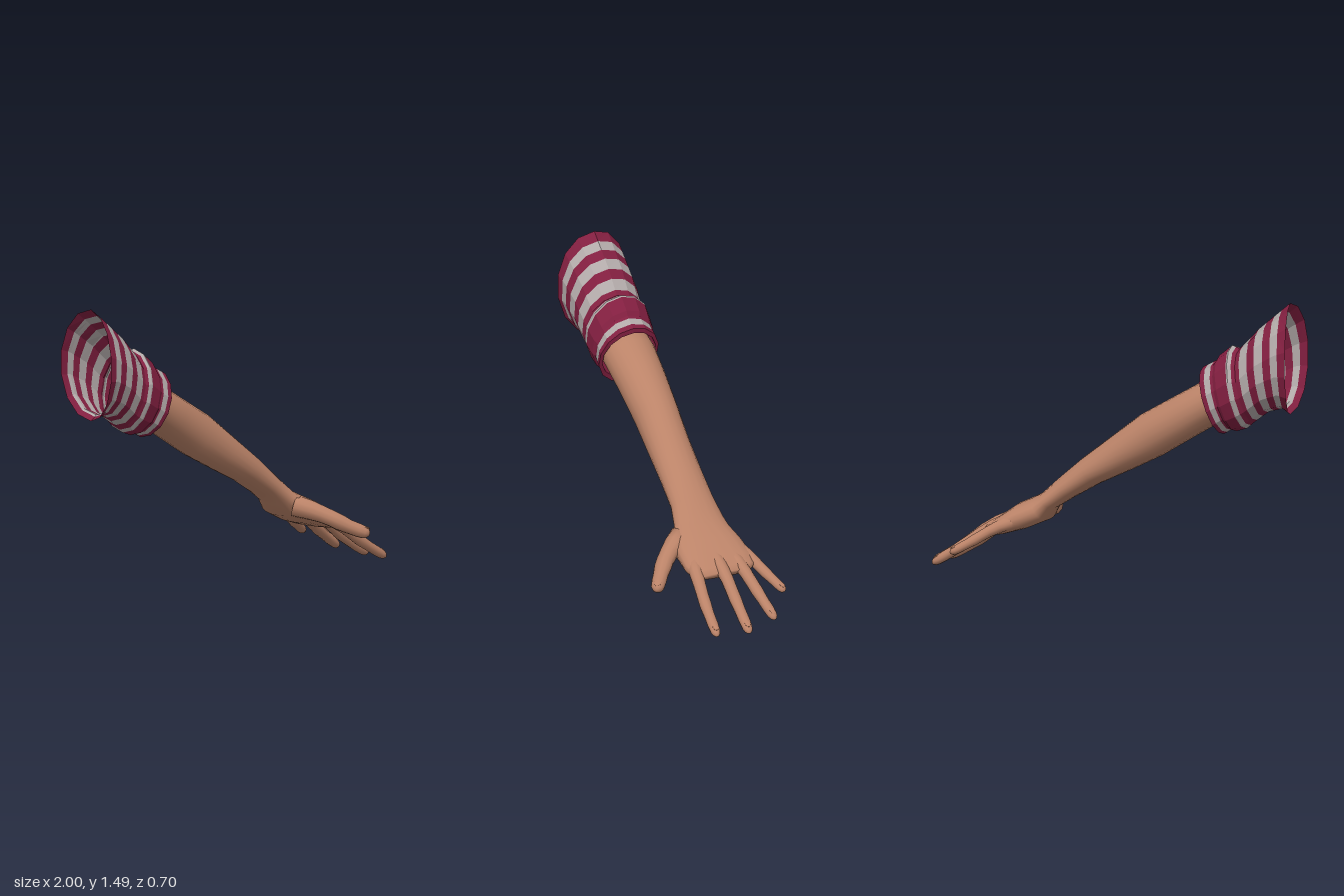
import * as THREE from 'three';

const V = (x, y, z) => new THREE.Vector3(x, y, z);

// Closed-loop cross-sections joined into a tube; u x v points along the tube.
function loft(rings, sides, { caps = true, flat = false } = {}) {
  const pos = [], idx = [];
  for (const { c, u, v, power = 1, bow = 0 } of rings) {
    for (let j = 0; j < sides; j++) {
      const a = (j / sides) * Math.PI * 2;
      const shape = (t) => Math.sign(t) * Math.pow(Math.abs(t), power);
      const p = c.clone().addScaledVector(u, shape(Math.cos(a))).addScaledVector(v, shape(Math.sin(a)));
      p.x -= bow * Math.abs(Math.sin(a));
      pos.push(p.x, p.y, p.z);
    }
  }
  const n = rings.length;
  for (let i = 0; i < n - 1; i++) {
    for (let j = 0; j < sides; j++) {
      const k = (j + 1) % sides;
      const a = i * sides + j, b = i * sides + k, c = a + sides, d = b + sides;
      idx.push(a, b, d, a, d, c);
    }
  }
  if (caps) {
    for (const [row, isEnd] of [[0, false], [n - 1, true]]) {
      const center = pos.length / 3;
      pos.push(...rings[row].c.toArray());
      for (let j = 0; j < sides; j++) {
        const a = row * sides + j, b = row * sides + ((j + 1) % sides);
        idx.push(center, ...(isEnd ? [a, b] : [b, a]));
      }
    }
  }
  let g = new THREE.BufferGeometry();
  g.setAttribute('position', new THREE.Float32BufferAttribute(pos, 3));
  g.setIndex(idx);
  if (flat) g = g.toNonIndexed();
  g.computeVertexNormals();
  return g;
}

// Ring from its top point, bottom point and z range.
const section = ([tx, ty, bx, by, z0, z1, power = 1, bow = 0]) => ({
  c: V((tx + bx) / 2, (ty + by) / 2, (z0 + z1) / 2),
  u: V((tx - bx) / 2, (ty - by) / 2, 0),
  v: V(0, 0, (z1 - z0) / 2),
  power, bow,
});

// Forearm, wrist and palm
const ARM = [
  [-0.66, 1.13, -0.74, 0.92, -0.19, 0.08],
  [-0.50, 1.07, -0.60, 0.86, -0.198, 0.085],
  [-0.35, 0.985, -0.45, 0.77, -0.192, 0.072],
  [-0.15, 0.87, -0.27, 0.66, -0.178, 0.062],
  [0.00, 0.755, -0.10, 0.575, -0.168, 0.064],
  [0.18, 0.615, 0.08, 0.49, -0.166, 0.066],
  [0.30, 0.51, 0.22, 0.41, -0.172, 0.068, 0.95],
  [0.385, 0.43, 0.315, 0.35, -0.188, 0.09, 0.9],
  [0.43, 0.405, 0.355, 0.285, -0.202, 0.125, 0.85],
  [0.52, 0.365, 0.46, 0.24, -0.228, 0.145, 0.8],
  [0.61, 0.30, 0.57, 0.21, -0.25, 0.137, 0.75],
  [0.66, 0.265, 0.63, 0.20, -0.235, 0.12, 0.75],
  [0.685, 0.24, 0.665, 0.205, -0.20, 0.09, 0.75],
];

// Digits: path points, then base and tip radius
const DIGITS = {
  thumb: { path: [[0.38, 0.345, 0.06], [0.44, 0.32, 0.135], [0.50, 0.285, 0.205], [0.57, 0.24, 0.265], [0.665, 0.195, 0.33]], r: [0.062, 0.033] },
  indexFinger: { path: [[0.54, 0.285, 0.075], [0.66, 0.225, 0.095], [0.80, 0.125, 0.11], [0.97, 0.025, 0.12]], r: [0.041, 0.025] },
  middleFinger: { path: [[0.54, 0.295, -0.04], [0.68, 0.235, -0.048], [0.83, 0.125, -0.053], [0.998, 0.022, -0.053]], r: [0.041, 0.026] },
  ringFinger: { path: [[0.54, 0.29, -0.13], [0.66, 0.235, -0.16], [0.79, 0.145, -0.19], [0.945, 0.047, -0.222]], r: [0.041, 0.025] },
  littleFinger: { path: [[0.52, 0.285, -0.195], [0.61, 0.245, -0.24], [0.70, 0.19, -0.285], [0.808, 0.128, -0.338]], r: [0.04, 0.023] },
};

// Sleeve rings from shoulder to cuff, then the turned-in hem
const SLEEVE = [
  [-0.965, 1.50, -0.965, 0.91, -0.24, 0.155, 1, 0.035],
  [-0.90, 1.445, -0.925, 0.94, -0.236, 0.147, 1, 0.025],
  [-0.80, 1.36, -0.85, 0.92, -0.232, 0.135, 1, 0.01],
  [-0.69, 1.245, -0.77, 0.86, -0.218, 0.12, 1, 0],
  [-0.65, 1.262, -0.735, 0.828, -0.236, 0.128, 1, 0],
  [-0.58, 1.205, -0.675, 0.808, -0.228, 0.12, 1, 0],
  [-0.565, 1.18, -0.655, 0.82, -0.217, 0.11, 1, 0],
  [-0.49, 1.14, -0.605, 0.79, -0.222, 0.117, 1, 0],
  [-0.492, 1.112, -0.60, 0.82, -0.204, 0.097, 1, 0],
  [-0.57, 1.14, -0.67, 0.86, -0.20, 0.093, 1, 0],
];
const STRIPES = [[0.7, 1.2], [1.6, 2.05], [2.4, 2.8], [3.5, 4.1], [6.2, 6.65]];

function sleeveRing(s) {
  const i = Math.min(Math.floor(s), SLEEVE.length - 2);
  return section(SLEEVE[i].map((a, k) => a + (SLEEVE[i + 1][k] - a) * (s - i)));
}

// One band of cloth between two positions along the sleeve
function sleeveBand(s0, s1) {
  const steps = [s0];
  for (let k = Math.floor(s0) + 1; k < s1; k++) steps.push(k);
  steps.push(s1);
  return loft(steps.map(sleeveRing), 14, { caps: false, flat: true });
}

export function createModel() {
  const skin = new THREE.MeshStandardMaterial({ color: 0xbb8368 });
  const crimson = new THREE.MeshStandardMaterial({ color: 0x821f40, side: THREE.DoubleSide });
  const paleGrey = new THREE.MeshStandardMaterial({ color: 0xb2aaa9, side: THREE.DoubleSide });
  skin.name = 'skin';
  crimson.name = 'crimson cloth';
  paleGrey.name = 'pale grey stripe';

  const model = new THREE.Group();
  model.name = 'armWithSleeve';
  const add = (parent, name, geometry, material) => {
    const m = new THREE.Mesh(geometry, material);
    m.name = name;
    parent.add(m);
    return m;
  };

  add(model, 'forearmAndPalm', loft(ARM.map(section), 20), skin);

  // Fingers and thumb with rounded tips and nails
  const hand = new THREE.Group();
  hand.name = 'digits';
  model.add(hand);
  const stops = [0, 0.2, 0.36, 0.5, 0.6, 0.72, 0.85, 0.93, 0.97, 0.99, 1];
  const swell = [1, 1, 0.95, 0.97, 1.04, 0.98, 1.05, 1, 0.8, 0.5, 0.2];
  for (const [name, { path, r }] of Object.entries(DIGITS)) {
    const curve = new THREE.CatmullRomCurve3(path.map((p) => V(...p)));
    const frame = (t) => {
      const d = curve.getTangentAt(t);
      const u = V(0, 1, 0).addScaledVector(d, -d.y).normalize();
      return { c: curve.getPointAt(t), d, u, v: d.clone().cross(u) };
    };
    const rings = stops.map((t, i) => {
      const f = frame(t);
      const radius = (r[0] + (r[1] - r[0]) * t) * swell[i];
      return { c: f.c, u: f.u.multiplyScalar(radius * 0.92), v: f.v.multiplyScalar(radius) };
    });
    add(hand, name, loft(rings, 12), skin);

    const f = frame(0.91);
    const nail = add(hand, name + 'Nail', new THREE.SphereGeometry(1, 12, 8), skin);
    nail.position.copy(f.c).addScaledVector(f.u, r[1] * 0.85);
    nail.quaternion.setFromRotationMatrix(new THREE.Matrix4().makeBasis(f.d, f.u, f.v));
    nail.scale.set(r[1] * 0.9, 0.005, r[1] * 0.62);
  }

  // Striped sleeve, bands alternating along its length
  const sleeve = new THREE.Group();
  sleeve.name = 'sleeve';
  model.add(sleeve);
  let s = 0;
  STRIPES.forEach(([s0, s1], i) => {
    add(sleeve, 'clothBand' + (i + 1), sleeveBand(s, s0), crimson);
    add(sleeve, 'stripe' + (i + 1), sleeveBand(s0, s1), paleGrey);
    s = s1;
  });
  add(sleeve, 'cuffHem', sleeveBand(s, SLEEVE.length - 1), crimson);

  return model;
}
